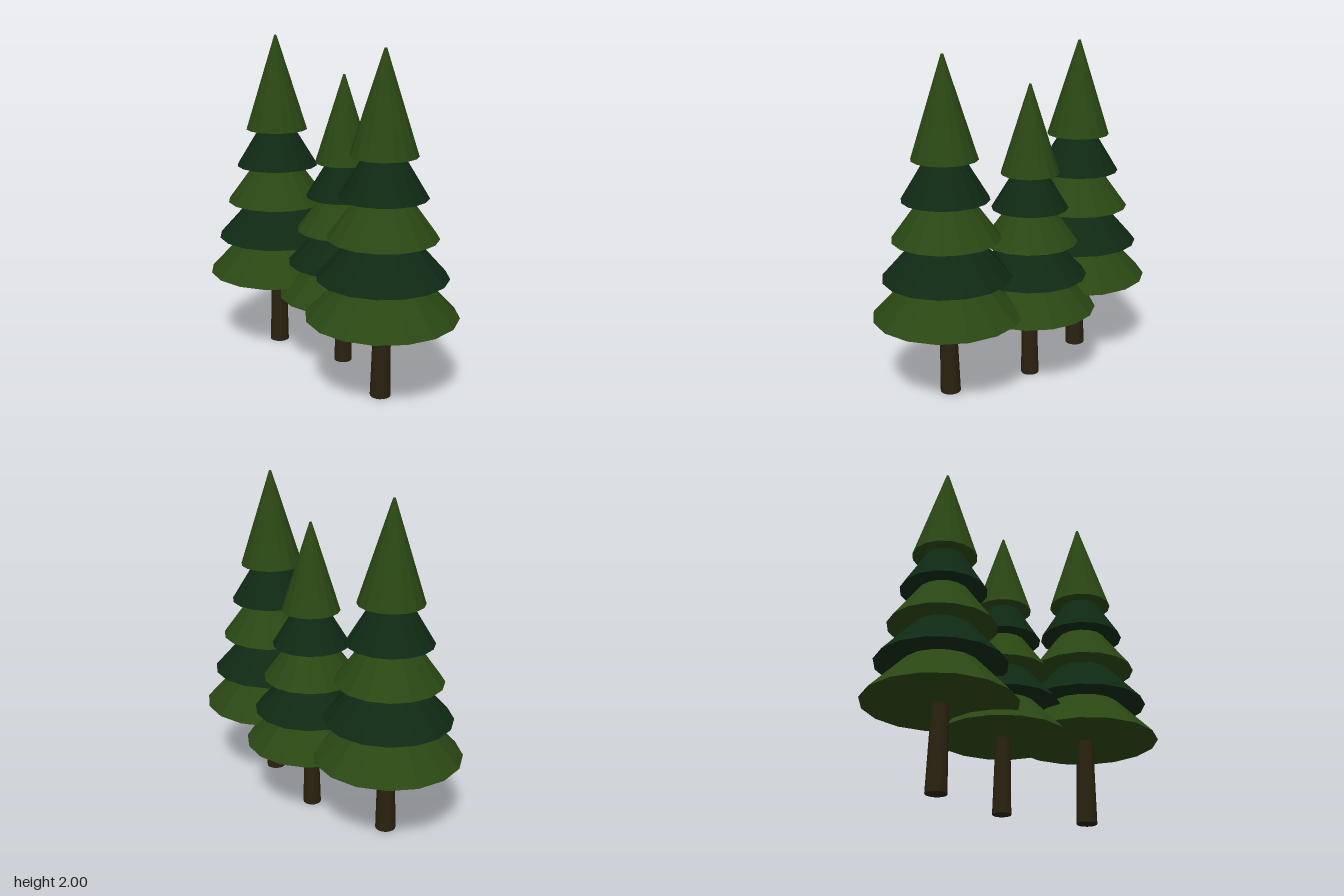
import * as THREE from 'three';

const mat = (name, color) => {
  const m = new THREE.MeshStandardMaterial({ color, flatShading: true });
  m.name = name;
  return m;
};

// Bottom tier first: base height, base radius, top height, top radius
const TIERS = [
  [0.50, 0.440, 0.76, 0.192],
  [0.73, 0.378, 0.99, 0.145],
  [0.96, 0.316, 1.22, 0.125],
  [1.19, 0.254, 1.45, 0.095],
  [1.42, 0.192, 2.00, 0.007],
];

export function createModel() {
  const leafGreen = mat('leaf green', 0x2a4713);
  const deepGreen = mat('deep green', 0x0f2914);
  const bark = mat('bark brown', 0x2a2210);

  function makeTree(name, x, z, scale) {
    const tree = new THREE.Group();
    tree.name = name;

    // Tapered trunk with a very slight lean
    const trunkGeo = new THREE.CylinderGeometry(0.048, 0.061, 0.55, 16);
    trunkGeo.translate(0, 0.275, 0);
    const trunk = new THREE.Mesh(trunkGeo, bark);
    trunk.name = 'trunk';
    trunk.position.x = -0.004;
    trunk.rotation.z = -0.016;
    tree.add(trunk);

    // Stacked skirts of foliage in alternating greens
    TIERS.forEach(([y0, r0, y1, r1], i) => {
      const geo = new THREE.CylinderGeometry(r1, r0, y1 - y0, 16);
      const tier = new THREE.Mesh(geo, i % 2 ? deepGreen : leafGreen);
      tier.name = `foliageTier${i + 1}`;
      tier.position.y = (y0 + y1) / 2;
      tree.add(tier);
    });

    tree.position.set(x, 0, z);
    tree.scale.setScalar(scale);
    return tree;
  }

  const group = new THREE.Group();
  group.name = 'pineTrees';
  group.add(
    makeTree('rightTree', -0.522, 0.042, 1),
    makeTree('leftTree', 0.522, 0.042, 1),
    makeTree('middleTree', 0, -0.088, 0.9),
  );
  return group;
}
